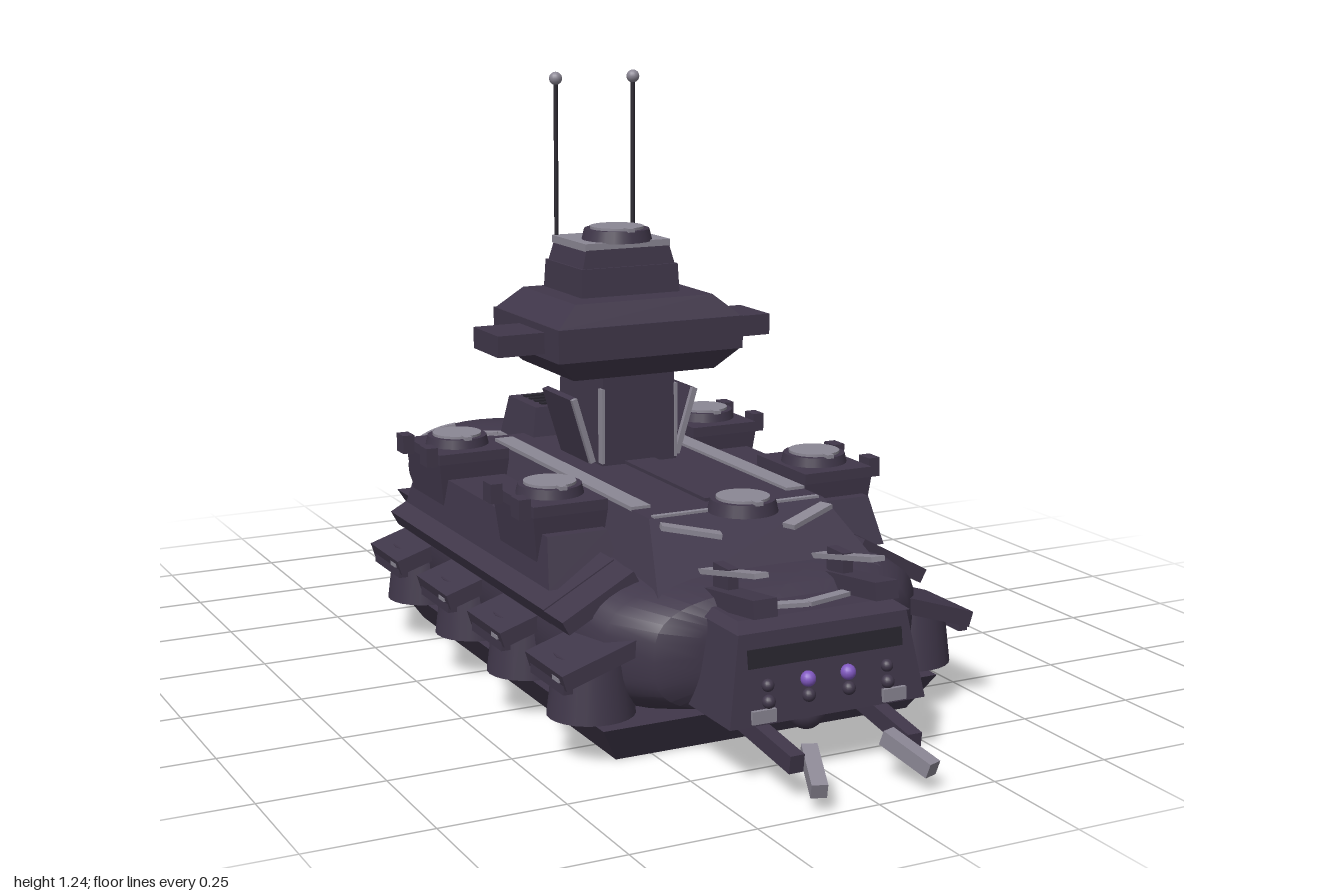
import * as THREE from 'three';
import { toCreasedNormals } from 'three/addons/utils/BufferGeometryUtils.js';

const mat = (name, color) => {
  const m = new THREE.MeshStandardMaterial({ color });
  m.name = name;
  return m;
};

// Smooth skin over superellipse rings; section = [z, halfWidth, yLow, yHigh], z descending
function loft(sections, n, seg = 40) {
  const pos = [], idx = [];
  const se = v => Math.sign(v) * Math.pow(Math.abs(v), 2 / n);
  for (const [z, w, lo, hi] of sections)
    for (let j = 0; j < seg; j++) {
      const t = (j / seg) * Math.PI * 2;
      pos.push(w * se(Math.cos(t)), (lo + hi) / 2 + ((hi - lo) / 2) * se(Math.sin(t)), z);
    }
  const last = sections.length - 1, c0 = pos.length / 3;
  for (const s of [sections[0], sections[last]]) pos.push(0, (s[2] + s[3]) / 2, s[0]);
  for (let j = 0; j < seg; j++) {
    const k = (j + 1) % seg;
    for (let i = 0; i < last; i++) {
      const a = i * seg + j, b = i * seg + k, c = a + seg, d = b + seg;
      idx.push(a, c, b, b, c, d);
    }
    idx.push(c0, j, k, c0 + 1, last * seg + k, last * seg + j);
  }
  const g = new THREE.BufferGeometry();
  g.setAttribute('position', new THREE.Float32BufferAttribute(pos, 3));
  g.setIndex(idx);
  return toCreasedNormals(g, 0.6);
}

// Block with different rectangles at bottom and top: [xHalf, zBack, zFront]
function taper(bottom, top, y0, y1) {
  const g = new THREE.BoxGeometry(2, 2, 2).toNonIndexed();
  const p = g.attributes.position;
  for (let i = 0; i < p.count; i++) {
    const up = p.getY(i) > 0, r = up ? top : bottom;
    p.setXYZ(i, p.getX(i) * r[0], up ? y1 : y0, p.getZ(i) > 0 ? r[2] : r[1]);
  }
  g.computeVertexNormals();
  return g;
}

export function createModel() {
  const root = new THREE.Group();
  const armour = mat('dark plum armour', 0x40374a);
  const trim = mat('pale grey trim', 0x8b8794);
  const black = mat('near black', 0x28252e);
  const glow = mat('violet lamp', 0x8058c0);

  const add = (name, geo, m = armour, x = 0, y = 0, z = 0) => {
    const mesh = new THREE.Mesh(geo, m);
    mesh.name = name;
    mesh.position.set(x, y, z);
    root.add(mesh);
    return mesh;
  };
  const box = (name, w, h, d, x, y, z, m) => add(name, new THREE.BoxGeometry(w, h, d), m, x, y, z);
  const ball = (name, r, x, y, z, m) => add(name, new THREE.SphereGeometry(r, 16, 12), m, x, y, z);
  // Bar running from point a to point b
  const bar = (name, a, b, w, h, m) => {
    const A = new THREE.Vector3(...a), B = new THREE.Vector3(...b);
    const mesh = box(name, w, h, A.distanceTo(B), 0, 0, 0, m);
    mesh.position.copy(A).add(B).multiplyScalar(0.5);
    mesh.lookAt(B);
    return mesh;
  };
  // Round hatch: dark rim, pale lid and a notch
  const hatch = (x, y, z, r = 0.07) => {
    add('hatchRim', new THREE.CylinderGeometry(r * 0.92, r, 0.025, 24), armour, x, y, z);
    add('hatchLid', new THREE.CylinderGeometry(r * 0.76, r * 0.76, 0.008, 24), trim, x, y + 0.014, z);
    box('hatchNotch', 0.016, 0.008, 0.02, x, y + 0.015, z + r * 0.82, trim);
  };

  // Hull: tapered keel slab, rounded body, raised deck
  add('keel', taper([0.325, -0.41, 0.59], [0.37, -0.49, 0.63], 0, 0.075));
  add('hull', loft([[0.69, 0.2, 0.13, 0.29], [0.66, 0.28, 0.09, 0.32], [0.58, 0.345, 0.07, 0.335],
    [0.4, 0.375, 0.06, 0.345], [-0.32, 0.375, 0.06, 0.345], [-0.4, 0.335, 0.06, 0.35],
    [-0.46, 0.27, 0.07, 0.345], [-0.5, 0.2, 0.1, 0.33]], 3.2));
  add('deck', taper([0.25, -0.37, 0.62], [0.195, -0.33, 0.47], 0.3, 0.425));
  box('deckSpine', 0.07, 0.012, 0.36, 0, 0.426, 0.22);
  box('deckLip', 0.37, 0.008, 0.012, 0, 0.425, 0.465, trim);
  add('rearLocker', taper([0.11, -0.455, -0.275], [0.095, -0.44, -0.29], 0.405, 0.49));
  box('rearLockerBase', 0.16, 0.09, 0.1, 0, 0.37, -0.37);
  for (let i = 0; i < 4; i++) box('lockerSlat', 0.14, 0.006, 0.015, 0, 0.491, -0.41 + i * 0.03, black);
  hatch(0, 0.437, 0.49);

  for (const s of [-1, 1]) {
    box('deckStrip', 0.042, 0.01, 0.68, s * 0.175, 0.426, 0.055, trim);
    bar('deckChevron', [s * 0.185, 0.416, 0.5], [s * 0.075, 0.395, 0.54], 0.03, 0.01, trim);

    // Side shelf carrying two gun blocks
    const shelf = add('sideShelf', taper([0.08, -0.36, 0.41], [0.065, -0.32, 0.37], 0.29, 0.385));
    shelf.position.x = s * 0.3;
    const skirt = box('sideSkirt', 0.17, 0.035, 0.83, s * 0.325, 0.29, 0.03);
    skirt.rotation.z = -s * 0.5;
    for (const z of [-0.24, 0.25]) {
      const block = add('gunBlock', taper([0.068, z - 0.09, z + 0.09], [0.08, z - 0.1, z + 0.1], 0.32, 0.42));
      block.position.x = s * 0.305;
      box('gunBlockCap', 0.16, 0.022, 0.2, s * 0.305, 0.43, z);
      hatch(s * 0.305, 0.448, z);
      for (const k of [-0.07, 0.07]) {
        box('gunLug', 0.026, 0.04, 0.04, s * 0.398, 0.436, z + k);
        box('gunLugArm', 0.04, 0.016, 0.025, s * 0.375, 0.42, z + k);
      }
    }

    // Four wheel pods under sloping fenders
    for (const z of [0.545, 0.255, -0.025, -0.31]) {
      const pod = add('wheelPod', new THREE.CylinderGeometry(0.068, 0.082, 0.12, 24), armour, s * 0.355, 0.145, z);
      pod.scale.x = 1.05;
      const fender = box('fender', 0.17, 0.032, 0.17, s * 0.368, 0.205, z);
      fender.rotation.z = -s * 0.31;
      box('fenderLip', 0.02, 0.035, 0.15, s * 0.437, 0.172, z);
      box('fenderMark', 0.005, 0.008, 0.03, s * 0.4495, 0.18, z + 0.05, trim);
    }
    const plate = box('frontShoulder', 0.17, 0.03, 0.1, s * 0.325, 0.29, 0.48);
    plate.rotation.z = -s * 0.5;

    // Slanted fins beside the tower
    const fin = bar('towerFin', [s * 0.1, 0.43, -0.06], [s * 0.143, 0.57, -0.06], 0.11, 0.014);
    fin.rotation.set(0, 0, -s * 0.3);
    fin.geometry = new THREE.BoxGeometry(0.014, 0.147, 0.14);
    bar('finEdge', [s * 0.1, 0.43, 0.015], [s * 0.143, 0.57, 0.015], 0.012, 0.012, trim);
    box('towerEdge', 0.006, 0.16, 0.02, s * 0.086, 0.51, 0.032, trim);

    // Wing pods on the tower head
    box('headWing', 0.14, 0.045, 0.13, s * 0.25, 0.698, -0.035);
    box('wingCap', 0.1, 0.015, 0.1, s * 0.27, 0.713, -0.035);

    // Aerials
    add('aerial', new THREE.CylinderGeometry(0.005, 0.005, 0.34, 8), black, s * 0.092, 1.055, -0.178);
    ball('aerialTip', 0.014, s * 0.092, 1.228, -0.178, trim);
  }

  // Tower with faceted head and stepped cap
  add('towerColumn', taper([0.088, -0.18, 0.04], [0.083, -0.18, 0.035], 0.41, 0.64));
  add('headLower', taper([0.165, -0.2, 0.065], [0.212, -0.235, 0.095], 0.62, 0.665));
  add('headMiddle', taper([0.215, -0.24, 0.1], [0.215, -0.24, 0.1], 0.665, 0.735));
  add('headUpper', taper([0.212, -0.235, 0.095], [0.16, -0.205, 0.065], 0.735, 0.78));
  add('capStep', taper([0.115, -0.195, 0.0], [0.113, -0.19, -0.005], 0.78, 0.84));
  add('capNeck', taper([0.108, -0.185, -0.01], [0.098, -0.18, -0.015], 0.84, 0.878));
  box('capPlate', 0.2, 0.016, 0.17, 0, 0.884, -0.1, trim);
  hatch(0, 0.902, -0.07, 0.076);

  // Rear pod: rounded shell on a flat keel plate
  const shell = [[-0.48, 0.165, 0.14, 0.3], [-0.57, 0.195, 0.14, 0.325], [-0.66, 0.212, 0.14, 0.348],
    [-0.76, 0.215, 0.14, 0.353], [-0.85, 0.19, 0.15, 0.345], [-0.92, 0.15, 0.165, 0.325],
    [-0.97, 0.11, 0.185, 0.295], [-0.995, 0.07, 0.21, 0.27]];
  add('rearShell', loft(shell, 2.3));
  add('rearKeel', taper([0.165, -0.93, -0.48], [0.185, -0.945, -0.48], 0.13, 0.165));
  box('rearNeck', 0.41, 0.15, 0.1, 0, 0.22, -0.5);
  const shellTop = (x, z) => {
    const i = Math.max(1, shell.findIndex(q => q[0] <= z));
    const a = shell[i - 1], b = shell[i], f = (z - a[0]) / (b[0] - a[0]);
    const [, w, lo, hi] = a.map((v, k) => v + (b[k] - v) * f);
    return (lo + hi) / 2 + ((hi - lo) / 2) * Math.pow(1 - Math.pow(Math.abs(x / w), 2.3), 1 / 2.3);
  };
  const marking = (x0, z0, x1, z1) => {
    const at = t => {
      const x = x0 + (x1 - x0) * t, z = z0 + (z1 - z0) * t;
      return [x, shellTop(x, z) + 0.003, z];
    };
    for (let i = 0; i < 5; i++) bar('shellMarking', at(i / 5), at((i + 1) / 5), 0.02, 0.009, trim);
  };
  for (const s of [-1, 1]) {
    marking(0, -0.645, s * 0.155, -0.73);
    marking(s * 0.08, -0.81, s * 0.155, -0.845);
    ball('rearLamp', 0.023, s * 0.045, 0.245, -0.982, glow);
  }

  // Front console with lamps, slot and studs
  add('console', taper([0.21, 0.62, 0.825], [0.18, 0.64, 0.8], 0.115, 0.285));
  add('consoleRoof', taper([0.185, 0.6, 0.805], [0.165, 0.6, 0.77], 0.285, 0.3));
  box('consoleSlot', 0.33, 0.035, 0.008, 0, 0.237, 0.807, black).rotation.x = -0.146;
  for (const x of [-0.128, -0.043, 0.043, 0.128]) {
    const lit = Math.abs(x) < 0.1;
    ball('upperStud', lit ? 0.015 : 0.012, x, 0.187, 0.818, lit ? glow : armour);
    ball('lowerStud', 0.013, x, 0.157, 0.822);
  }
  ball('chinBall', 0.036, 0, 0.095, 0.74);

  for (const s of [-1, 1]) {
    box('consoleFoot', 0.05, 0.025, 0.008, s * 0.14, 0.132, 0.826, trim);
    bar('roofChevron', [s * 0.1, 0.304, 0.715], [0, 0.304, 0.74], 0.022, 0.009, trim);
    // Raised bracket blades over the console
    bar('upperBlade', [s * 0.125, 0.335, 0.55], [s * 0.125, 0.385, 0.785], 0.03, 0.01, trim);
    bar('lowerBlade', [s * 0.13, 0.3, 0.58], [s * 0.13, 0.33, 0.81], 0.05, 0.035);
    box('bladeLug', 0.022, 0.06, 0.06, s * 0.125, 0.34, 0.65);
    // Jointed claws
    bar('clawArm', [s * 0.13, 0.1, 0.7], [s * 0.125, 0.07, 0.92], 0.03, 0.035);
    bar('clawTip', [s * 0.083, 0.08, 0.89], [s * 0.12, 0.042, 0.99], 0.03, 0.03, trim);
  }
  return root;
}
